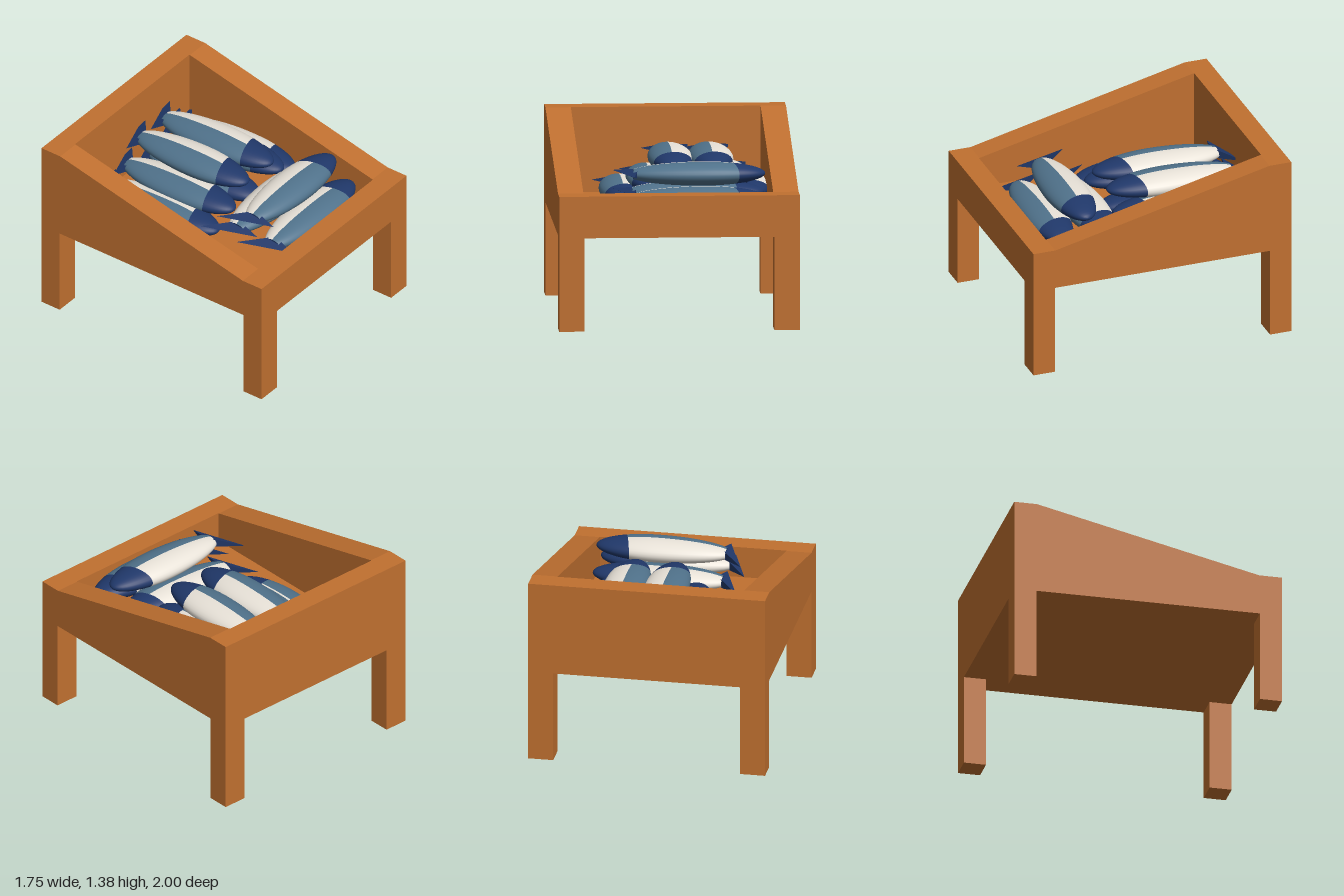
import * as THREE from 'three';
import { ParametricGeometry } from 'three/addons/geometries/ParametricGeometry.js';
import { ConvexGeometry } from 'three/addons/geometries/ConvexGeometry.js';

const mat = (color, extra = {}) => new THREE.MeshStandardMaterial({ color, ...extra });
const wood = mat(0xc07030);
const backBlue = mat(0x50728b);
const bellyWhite = mat(0xe8e2d8);
const navy = mat(0x20386a);

function add(parent, name, geometry, material, x = 0, y = 0, z = 0) {
  const mesh = new THREE.Mesh(geometry, material);
  mesh.name = name;
  mesh.position.set(x, y, z);
  parent.add(mesh);
  return mesh;
}

// Fish lies on its side, nose to +x: half depth along z, half thickness along y
const DEPTH = 0.163, THICK = 0.086, MID = 0.2, NOSE = 0.45, REAR = 0.56, END = -0.31;
const radiusAt = x => Math.sqrt(Math.max(0, 1 - ((x - MID) / (x > MID ? NOSE : REAR)) ** 2));
const headCut = angle => 0.42 - 0.037 * Math.sin(angle); // slanted edge of the head

function skin(from, sweep, xAt, slices, stacks) {
  return new ParametricGeometry((u, v, p) => {
    const angle = from + sweep * v;
    const x = xAt(u, angle), r = radiusAt(x);
    p.set(x, r * THICK * Math.cos(angle), -r * DEPTH * Math.sin(angle));
  }, slices, stacks);
}

const bodyX = (u, a) => THREE.MathUtils.lerp(END, headCut(a), u);
const headX = (u, a) => {
  const start = Math.asin((headCut(a) - MID) / NOSE);
  return MID + NOSE * Math.sin(THREE.MathUtils.lerp(start, Math.PI / 2 - 0.002, u));
};

const fishParts = {
  back: [skin(-Math.PI, Math.PI, bodyX, 20, 16), backBlue],
  belly: [skin(0, Math.PI, bodyX, 20, 16), bellyWhite],
  head: [skin(0, Math.PI * 2, headX, 10, 32), navy],
  // Swept wedge, thick at the body and sharp along the trailing edge
  tail: [new ConvexGeometry([
    new THREE.Vector3(-0.45, 0, -0.22), new THREE.Vector3(-0.31, 0, 0.19),
    new THREE.Vector3(-0.27, 0.04, 0), new THREE.Vector3(-0.27, -0.04, 0),
  ]), mat(0x20386a, { flatShading: true })],
};
// Closes the blunt rear of the body
const rearCap = new THREE.CircleGeometry(1, 32).rotateY(-Math.PI / 2)
  .scale(1, THICK * radiusAt(END), DEPTH * radiusAt(END)).translate(END, 0, 0);

function makeFish(name, x, y, z, turn) {
  const fish = new THREE.Group();
  fish.name = name;
  for (const [part, [geometry, material]] of Object.entries(fishParts)) add(fish, part, geometry, material);
  add(fish, 'rearCap', rearCap, navy);
  fish.position.set(x, y, z);
  fish.rotation.y = turn;
  return fish;
}

export function createModel() {
  const model = new THREE.Group();

  // Stand: two sloped sides with legs, end walls and floor
  const stand = new THREE.Group();
  stand.name = 'stand';
  model.add(stand);
  const profile = new THREE.Shape([
    [1, 0], [1, 0.99], [0.83, 0.99], [-0.83, 1.38], [-1, 1.38], [-1, 0],
    [-0.835, 0], [-0.835, 0.685], [0.835, 0.685], [0.835, 0],
  ].map(([z, y]) => new THREE.Vector2(z, y)));
  const side = new THREE.ExtrudeGeometry(profile, { depth: 0.185, bevelEnabled: false }).rotateY(-Math.PI / 2);
  add(stand, 'leftSideAndLegs', side, wood, 0.875);
  add(stand, 'rightSideAndLegs', side, wood, -0.69);
  add(stand, 'frontWall', new THREE.BoxGeometry(1.38, 0.305, 0.165), wood, 0, 0.8375, 0.9175);
  add(stand, 'backWall', new THREE.BoxGeometry(1.38, 0.695, 0.165), wood, 0, 1.0325, -0.9175);
  add(stand, 'floor', new THREE.BoxGeometry(1.38, 0.07, 1.67), wood, 0, 0.72, 0);

  // Rear pile, noses to the front: [x, y]
  [[-0.355, 0.86], [-0.16, 0.94], [0, 1.09], [0.14, 0.88], [0.295, 1.09], [0.42, 0.96], [0.56, 0.88]]
    .forEach(([x, y], i) => model.add(makeFish(`rearFish${i + 1}`, x, y, -0.435, -Math.PI / 2)));

  // Front pile, noses to the left: [y, z]
  [[0.925, 0.345], [1.08, 0.495], [0.925, 0.67]]
    .forEach(([y, z], i) => model.add(makeFish(`frontFish${i + 1}`, 0, y, z, 0)));

  return model;
}
